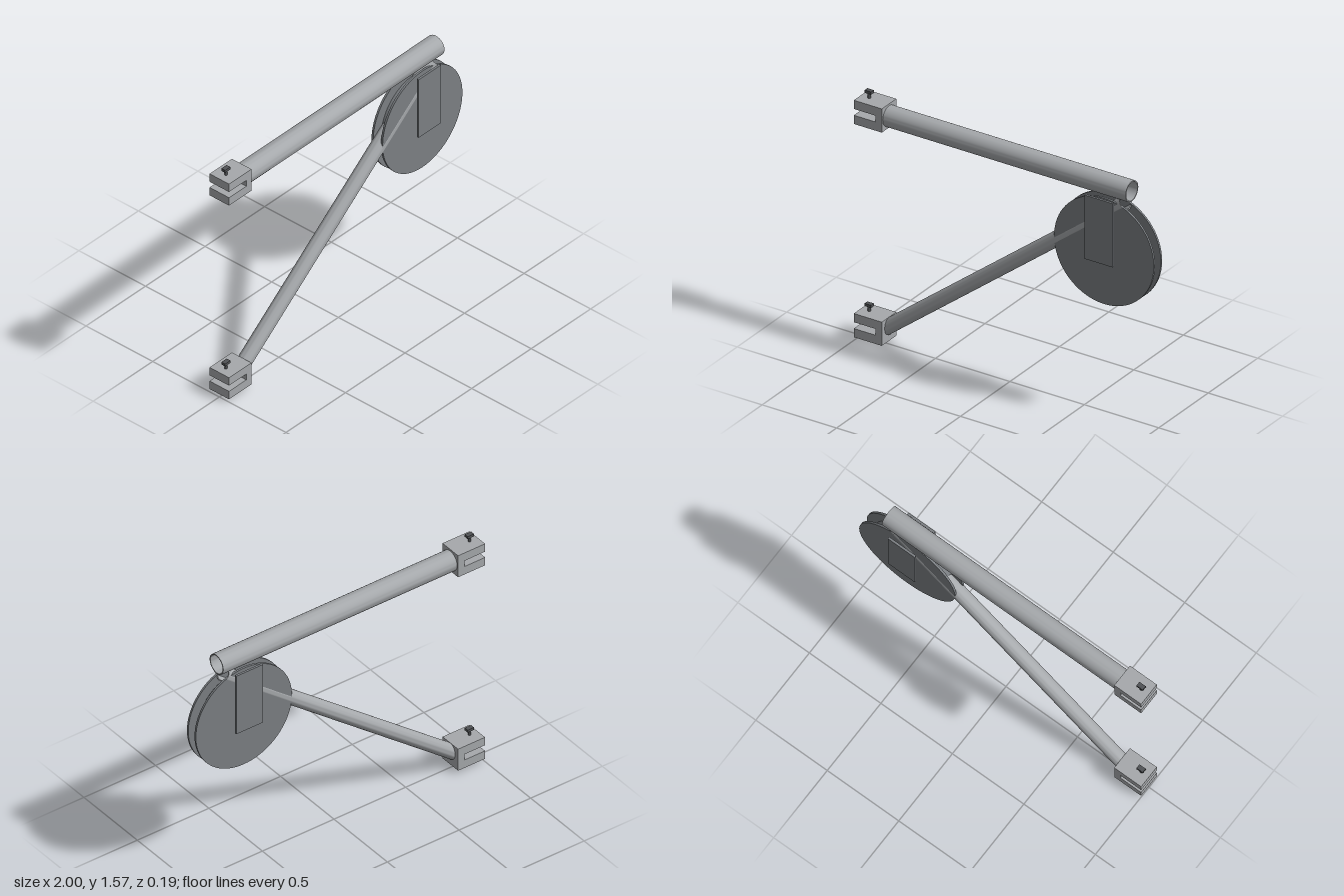
import * as THREE from 'three';
import { toCreasedNormals } from 'three/addons/utils/BufferGeometryUtils.js';

const material = (name, color) => {
  const m = new THREE.MeshStandardMaterial({ color });
  m.name = name;
  return m;
};

export function createModel() {
  const group = new THREE.Group();
  const steel = material('light steel', 0xa6a9ac);
  const wheelGrey = material('wheel grey', 0x7c8084);
  const boltDark = material('dark bolt', 0x505255);

  const add = (parent, name, geometry, mat, x = 0, y = 0, z = 0) => {
    const mesh = new THREE.Mesh(geometry, mat);
    mesh.name = name;
    mesh.position.set(x, y, z);
    parent.add(mesh);
    return mesh;
  };

  // Revolved profile with crisp corners
  const lathe = (points, segments) => toCreasedNormals(
    new THREE.LatheGeometry(points.map(([r, y]) => new THREE.Vector2(r, y)), segments), 0.6);

  // Hollow pipe between two points in the x-y plane
  const pipe = (name, x0, y0, x1, y1, outer, inner) => {
    const start = new THREE.Vector3(x0, y0, 0);
    const dir = new THREE.Vector3(x1, y1, 0).sub(start);
    const len = dir.length();
    const geo = lathe([[inner, 0], [outer, 0], [outer, len], [inner, len], [inner, 0]], 40);
    const mesh = add(group, name, geo, steel, x0, y0, 0);
    mesh.quaternion.setFromUnitVectors(new THREE.Vector3(0, 1, 0), dir.normalize());
  };
  pipe('upperArm', -0.815, 1.445, 0.82, 1.445, 0.064, 0.057);
  pipe('diagonalStrut', -0.83, 0.1, 0.775, 1.36, 0.0445, 0.038);

  // Slotted mounting forks with a vertical bolt
  const fork = (name, y) => {
    const g = new THREE.Group();
    g.name = name;
    g.position.y = y;
    group.add(g);
    const shape = new THREE.Shape([
      [-1, -0.075], [-0.812, -0.075], [-0.812, 0.075], [-1, 0.075],
      [-1, 0.02], [-0.855, 0.02], [-0.855, -0.02], [-1, -0.02],
    ].map(([px, py]) => new THREE.Vector2(px, py)));
    const body = new THREE.ExtrudeGeometry(shape, { depth: 0.146, bevelEnabled: false });
    add(g, 'forkBody', body, steel, 0, 0, -0.073);
    add(g, 'boltShaft', new THREE.CylinderGeometry(0.009, 0.009, 0.202, 16), boltDark, -0.945, 0.006, 0);
    add(g, 'boltHead', new THREE.BoxGeometry(0.044, 0.017, 0.028), boltDark, -0.945, 0.1145, 0);
  };
  fork('upperFork', 1.445);
  fork('lowerFork', 0.095);

  // Grooved pulley wheel
  const wheel = add(group, 'pulleyWheel', lathe([
    [0, -0.042], [0.335, -0.042], [0.335, -0.029], [0.268, -0.029],
    [0.268, 0.029], [0.335, 0.029], [0.335, 0.042], [0, 0.042],
  ], 72), wheelGrey, 0.66, 1.038, 0);
  wheel.rotation.x = Math.PI / 2;

  // Axle and the two hanger plates
  const axle = add(group, 'axle', new THREE.CylinderGeometry(0.026, 0.026, 0.17, 32), wheelGrey, 0.66, 1.038, 0);
  axle.rotation.x = Math.PI / 2;
  for (const side of [1, -1]) {
    add(group, side > 0 ? 'frontHangerPlate' : 'backHangerPlate',
      new THREE.BoxGeometry(0.188, 0.404, 0.014), wheelGrey, 0.66, 1.188, side * 0.09);
  }
  return group;
}
